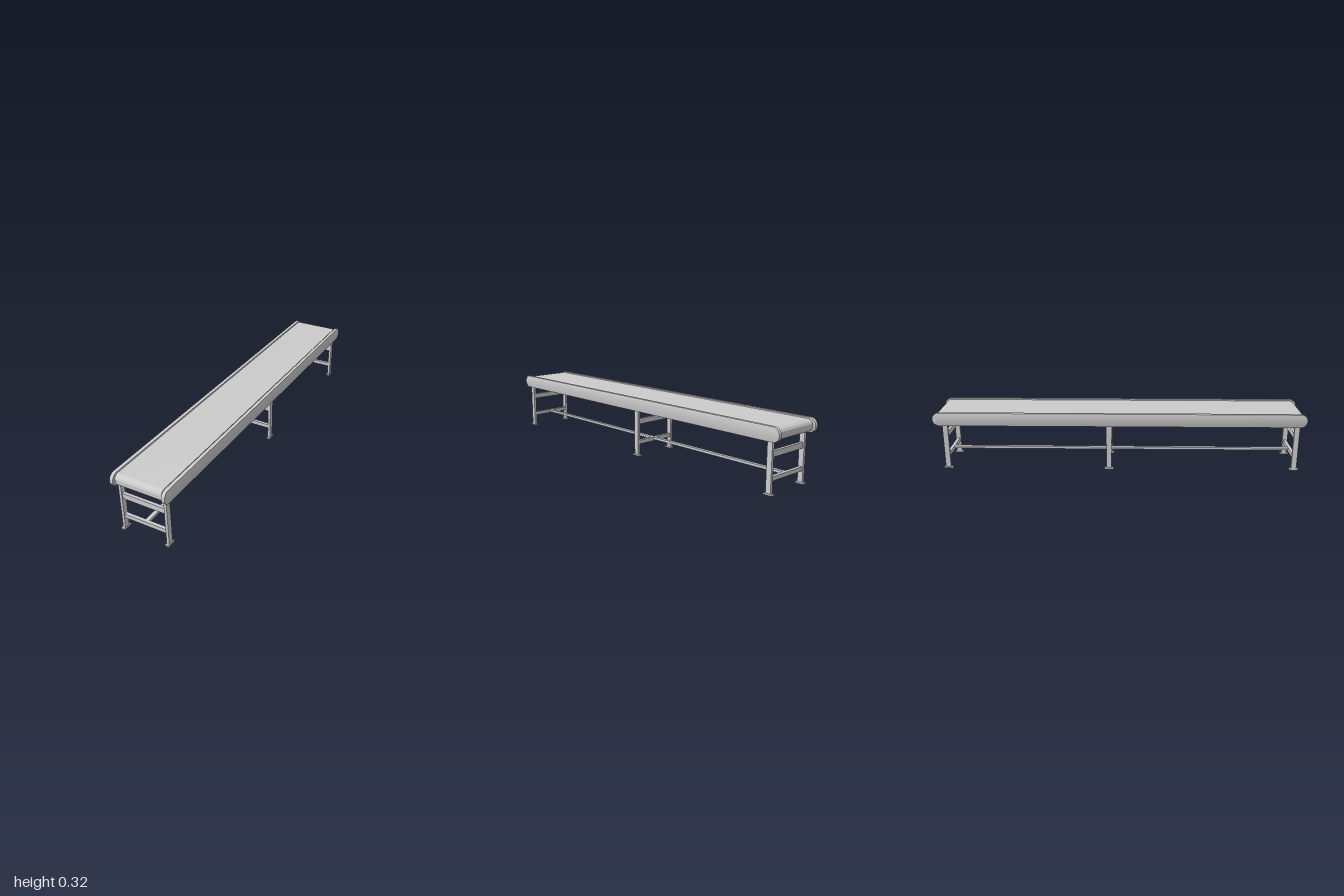
import * as THREE from 'three';
import { toCreasedNormals } from 'three/addons/utils/BufferGeometryUtils.js';

const material = new THREE.MeshStandardMaterial({ color: 0xcccccc });
const CENTER_Y = 0.287;

function add(parent, name, geometry, x = 0, y = 0, z = 0) {
  const mesh = new THREE.Mesh(geometry, material);
  mesh.name = name;
  mesh.position.set(x, y, z);
  parent.add(mesh);
  return mesh;
}

// Round-ended slab running along z, centred on its own origin, with its width along x
function slab(halfLength, radius, width, bevel = 0) {
  const r = radius - bevel;
  const c = halfLength - radius;
  const shape = new THREE.Shape();
  shape.moveTo(-c, -r);
  shape.lineTo(c, -r);
  shape.absarc(c, 0, r, -Math.PI / 2, Math.PI / 2, false);
  shape.lineTo(-c, r);
  shape.absarc(-c, 0, r, Math.PI / 2, Math.PI * 1.5, false);
  const depth = width - 2 * bevel;
  const geometry = new THREE.ExtrudeGeometry(shape, {
    depth, curveSegments: 20, bevelEnabled: bevel > 0,
    bevelSize: bevel, bevelThickness: bevel, bevelSegments: 2,
  });
  geometry.translate(0, 0, -depth / 2);
  geometry.rotateY(Math.PI / 2);
  return toCreasedNormals(geometry, 0.6);
}

export function createModel() {
  const model = new THREE.Group();
  model.name = 'conveyor';

  // Belt, and the slightly smaller bed that shows beside it
  add(model, 'belt', slab(0.99, 0.031, 0.246), 0, CENTER_Y);
  add(model, 'bed', slab(0.986, 0.028, 0.262), 0, CENTER_Y);

  // Side rails
  for (const side of [1, -1]) {
    add(model, side > 0 ? 'leftRail' : 'rightRail',
      slab(1, 0.0358, 0.019, 0.002), side * 0.138, CENTER_Y);
  }

  // Three support frames: legs, feet and two crossbars each
  const frames = { frontFrame: 0.952, middleFrame: -0.056, backFrame: -0.939 };
  for (const [name, z] of Object.entries(frames)) {
    const frame = new THREE.Group();
    frame.name = name;
    frame.position.z = z;
    for (const side of [1, -1]) {
      add(frame, 'leg', new THREE.BoxGeometry(0.014, 0.26, 0.028), side * 0.1225, 0.134);
      add(frame, 'foot', new THREE.BoxGeometry(0.021, 0.008, 0.048), side * 0.1225, 0.004);
    }
    add(frame, 'upperCrossbar', new THREE.BoxGeometry(0.232, 0.029, 0.016), 0, 0.1895);
    add(frame, 'lowerCrossbar', new THREE.BoxGeometry(0.232, 0.021, 0.018), 0, 0.0745);
    model.add(frame);
  }

  // Long bar joining the lower crossbars
  add(model, 'stretcher', new THREE.BoxGeometry(0.02, 0.013, 1.891), 0, 0.078, 0.0065);

  return model;
}
